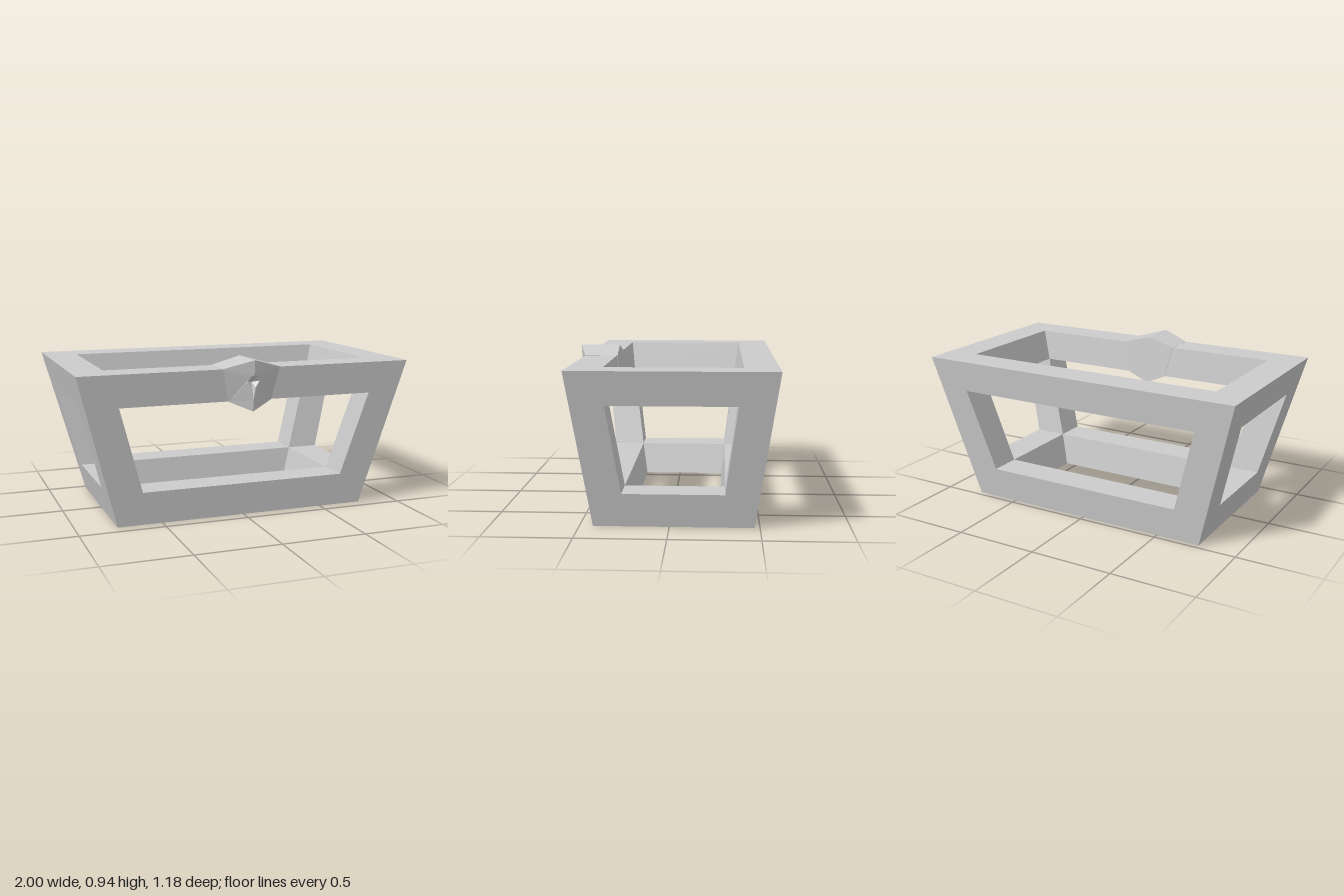
import * as THREE from 'three';

const V = (x, y, z) => new THREE.Vector3(x, y, z);
const H = 0.89;
const lerp = THREE.MathUtils.lerp;

// Outer walls flare linearly with height
const wallX = (y, s) => s * lerp(0.765, 1, y / H);
const wallZ = (y, s) => (s > 0 ? lerp(0.425, 0.54, y / H) : lerp(-0.47, -0.59, y / H));

// Corner of the outer hull, and of the inner cavity
const outer = ([sx, sy, sz]) => {
  const y = sy > 0 ? H : 0;
  return V(wallX(y, sx), y, wallZ(y, sz));
};
const inner = ([sx, sy, sz]) => (sy > 0
  ? V(0.763 * sx, 0.702, sz > 0 ? 0.33 : -0.372)
  : V(0.62 * sx, 0.197, sz > 0 ? 0.26 : -0.307));

// Corner of the window cut through the face across the given axis
function opening(axis, s) {
  const p = inner(s);
  if (axis === 0) return V(wallX(p.y, s[0]), p.y, p.z);
  if (axis === 2) return V(p.x, p.y, wallZ(p.y, s[2]));
  return s[1] > 0
    ? V(0.81 * s[0], H, s[2] > 0 ? 0.35 : -0.40)
    : V(0.57 * s[0], 0, s[2] > 0 ? 0.23 : -0.285);
}

// Collects flat faces, each turned to look toward a given point
class Faces {
  constructor() { this.points = []; }
  tri(a, b, c, toward) {
    const n = b.clone().sub(a).cross(c.clone().sub(a));
    if (n.dot(toward.clone().sub(a)) < 0) [b, c] = [c, b];
    this.points.push(a, b, c);
  }
  quad(a, b, c, d, toward) {
    this.tri(a, b, c, toward);
    this.tri(a, c, d, toward);
  }
  mesh(name) {
    const g = new THREE.BufferGeometry().setFromPoints(this.points);
    g.computeVertexNormals();
    const m = new THREE.Mesh(g, new THREE.MeshStandardMaterial({ color: 0xcccccc, flatShading: true }));
    m.name = name;
    return m;
  }
}

// Open frame: each of the six faces is a border around a window that leads inward
function makeFrame() {
  const f = new Faces();
  const loop = [[-1, -1], [1, -1], [1, 1], [-1, 1]];
  for (let axis = 0; axis < 3; axis++) for (const side of [-1, 1]) {
    const signs = loop.map(([u, v]) => {
      const s = [0, 0, 0];
      s[axis] = side; s[(axis + 1) % 3] = u; s[(axis + 2) % 3] = v;
      return s;
    });
    const out = signs.map(outer);
    const win = signs.map((s) => opening(axis, s));
    const cav = signs.map(inner);
    const outside = V(0, 0.45, -0.025).setComponent(axis, side * 10);
    const middle = V(0, 0, 0);
    win.forEach((p) => middle.addScaledVector(p, 0.25));
    for (let i = 0; i < 4; i++) {
      const j = (i + 1) % 4;
      f.quad(out[i], out[j], win[j], win[i], outside);
      f.quad(win[i], win[j], cav[j], cav[i], middle);
    }
  }
  return f.mesh('frame');
}

// Faceted lock plate wrapped round the front top rail
function makeLock() {
  const f = new Faces();
  const frontZ = (x, y) => {
    const ridge = lerp(0.565, 0.59, (y - 0.645) / 0.295);
    const edgeX = lerp(0.13, 0.172, (y - 0.7) / 0.19);
    return lerp(ridge, wallZ(y, 1) + 0.001, Math.min(1, x / edgeX));
  };
  const plate = [[0, 0.94], [0.172, 0.891], [0.13, 0.70], [0, 0.645]];
  const keyhole = [[0, 0.71], [0.012, 0.785], [0.036, 0.82], [0.02, 0.845], [0, 0.855]];
  const half = new THREE.ShapeGeometry(new THREE.Shape([...plate, ...keyhole].map(([x, y]) => new THREE.Vector2(x, y))));
  const pos = half.getAttribute('position');
  const index = half.getIndex();

  for (const m of [-1, 1]) {
    const front = (x, y) => V(m * x, y, frontZ(x, y));
    const back = ([x, y]) => V(m * x, y, lerp(0.326, 0.353, (y - 0.645) / 0.295) - 0.003);
    // Front facets
    for (let i = 0; i < index.count; i += 3) {
      const [a, b, c] = [0, 1, 2].map((k) => front(pos.getX(index.getX(i + k)), pos.getY(index.getX(i + k))));
      f.tri(a, b, c, V(0, 0.8, 10));
    }
    // Rim and back
    for (let i = 0; i < 3; i++) {
      f.quad(front(...plate[i]), front(...plate[i + 1]), back(plate[i + 1]), back(plate[i]),
        V(m * 5, [10, 0.8, -10][i], 0.45));
    }
    f.quad(...plate.map(back), V(0, 0.8, -10));
    // Keyhole recess
    for (let i = 0; i < keyhole.length - 1; i++) {
      f.tri(front(...keyhole[i]), front(...keyhole[i + 1]), V(0, 0.81, 0.535), V(0, 0.81, 0.6));
    }
  }
  return f.mesh('lock');
}

export function createModel() {
  const group = new THREE.Group();
  group.name = 'chestFrame';
  group.add(makeFrame(), makeLock());
  return group;
}
